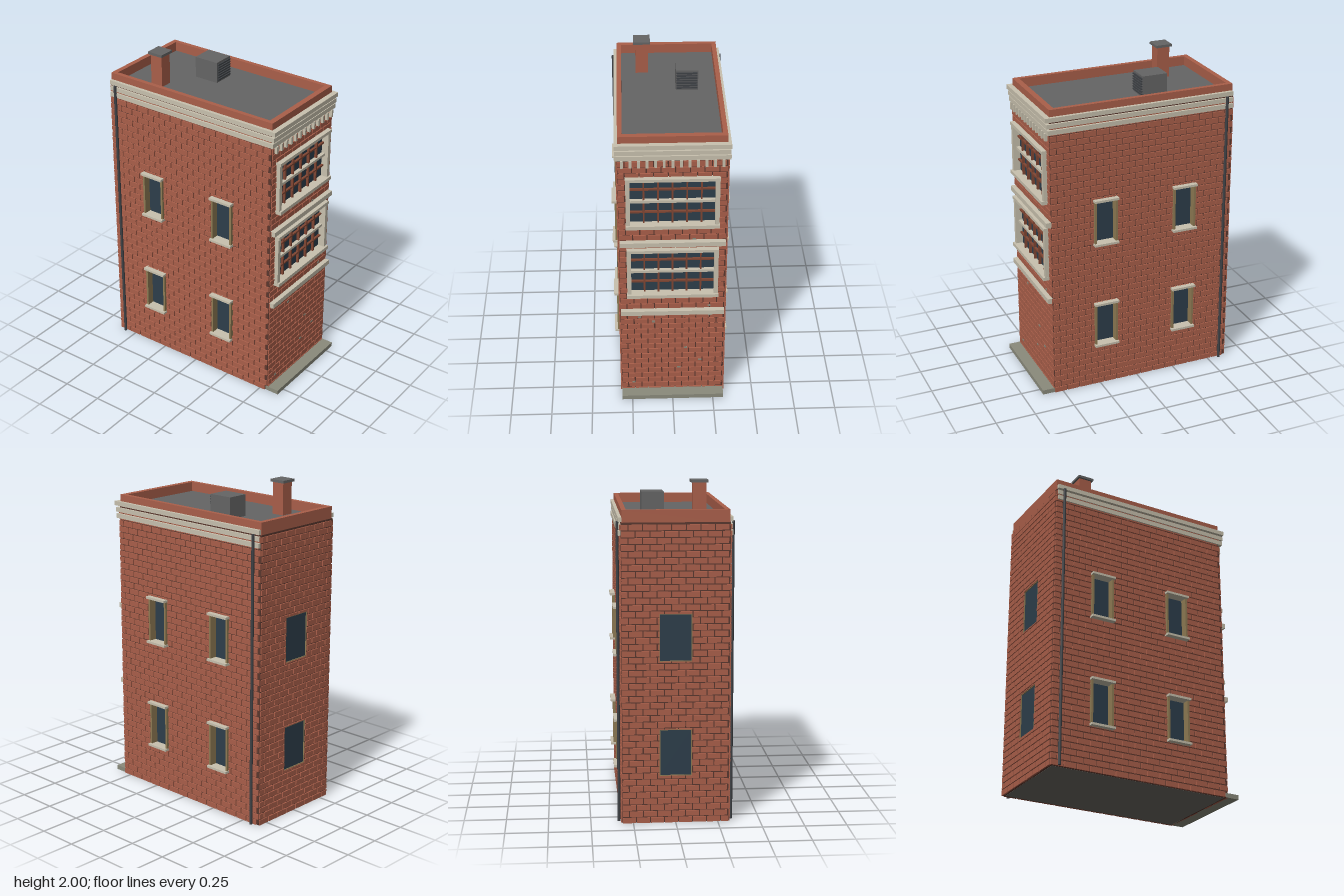
import * as THREE from 'three';
import { mergeGeometries } from 'three/addons/utils/BufferGeometryUtils.js';

const mat = (name, color) => {
  const m = new THREE.MeshStandardMaterial({ color });
  m.name = name;
  return m;
};

export function createModel() {
  const brick = mat('brick', 0xaa5f4a);
  const mortar = mat('mortar', 0x59372e);
  const stone = mat('stone', 0xc8c1ae);
  const slab = mat('weatheredStone', 0x8b8b7c);
  const roofGrey = mat('roofGrey', 0x656565);
  const glass = mat('glass', 0x2d3e4b);
  const wood = mat('windowWood', 0x8f7b54);
  const muntin = mat('muntinBrown', 0x804633);
  const iron = mat('darkIron', 0x3f4246);
  const concrete = mat('floorConcrete', 0x6c6961);

  // Box geometry from its minimum and maximum corners
  const boxGeo = (x0, x1, y0, y1, z0, z1) =>
    new THREE.BoxGeometry(x1 - x0, y1 - y0, z1 - z0)
      .translate((x0 + x1) / 2, (y0 + y1) / 2, (z0 + z1) / 2);
  const add = (parent, name, material, geos) => {
    const mesh = new THREE.Mesh(Array.isArray(geos) ? mergeGeometries(geos) : geos, material);
    mesh.name = name;
    parent.add(mesh);
    return mesh;
  };
  const group = (parent, name) => {
    const g = new THREE.Group();
    g.name = name;
    parent.add(g);
    return g;
  };
  const rectPath = (P, x0, x1, y0, y1) => new P([[x0, y0], [x1, y0], [x1, y1], [x0, y1]]
    .map(([x, y]) => new THREE.Vector2(x, y)));

  // Rectangle [u0,u1,y0,y1] minus a hole, as up to four smaller rectangles
  const subtract = (r, h) => {
    const [a, b, c, d] = r, [p, q, s, t] = h;
    if (q <= a || p >= b || t <= c || s >= d) return [r];
    const lo = Math.max(c, s), hi = Math.min(d, t);
    return [[a, b, c, s], [a, b, t, d], [a, p, lo, hi], [q, b, lo, hi]]
      .filter(([e, f, g, i]) => f - e > 0.005 && i - g > 0.005);
  };

  // Wall in its own plane: mortar sheet with openings, plus running-bond bricks
  const ROW = 0.0385, LEN = 0.083, GAP = 0.0065, PROUD = 0.008, TOP = 1.776;
  const wall = (parent, name, u0, u1, holes) => {
    const g = group(parent, name);
    const shape = rectPath(THREE.Shape, u0, u1, 0, TOP);
    holes.forEach((h) => shape.holes.push(rectPath(THREE.Path, ...h)));
    add(g, 'mortarWall', mortar, new THREE.ExtrudeGeometry(shape, { depth: 0.06, bevelEnabled: false })
      .translate(0, 0, -0.06));
    const geos = [];
    for (let row = 0; row * ROW < TOP - 0.01; row++) {
      const y0 = row * ROW, y1 = Math.min(y0 + ROW - GAP, TOP);
      for (let u = u0 - (row % 2) * LEN / 2; u < u1 - 0.01; u += LEN) {
        let rects = [[Math.max(u, u0), Math.min(u + LEN - GAP, u1), y0, y1]];
        holes.forEach((h) => { rects = rects.flatMap((r) => subtract(r, h)); });
        rects.forEach(([a, b, c, d]) => geos.push(boxGeo(a, b, c, d, -0.004, PROUD)));
      }
    }
    add(g, 'bricks', brick, geos);
    return g;
  };

  const model = new THREE.Group();
  model.name = 'brickTownhouse';

  // Front wall with two wide windows
  const frontHoles = [[-0.25, 0.25, 0.775, 1.085], [-0.25, 0.25, 1.27, 1.575]];
  const front = wall(model, 'frontWall', -0.312, 0.312, frontHoles);
  front.position.z = 0.549;
  frontHoles.forEach(([a, b, c, d]) => {
    const w = group(front, 'wideWindow');
    const mid = (c + d) / 2;
    add(w, 'glass', glass, boxGeo(a, b, c, d, -0.03, -0.012));
    add(w, 'frame', stone, [
      boxGeo(a - 0.02, a + 0.005, c, d, -0.03, 0.032),
      boxGeo(b - 0.005, b + 0.02, c, d, -0.03, 0.032),
      boxGeo(a - 0.021, b + 0.021, d - 0.006, d + 0.013, -0.03, 0.038),
      boxGeo(a - 0.022, b + 0.022, c - 0.018, c + 0.004, -0.03, 0.045),
      boxGeo(a, b, mid - 0.008, mid + 0.008, -0.02, 0.012),
    ]);
    const bars = [];
    for (let i = 1; i < 6; i++) {
      const x = a + (b - a) * i / 6;
      bars.push(boxGeo(x - 0.005, x + 0.005, c, d, -0.014, 0.004));
    }
    [0.25, 0.75].forEach((t) => {
      const y = c + (d - c) * t;
      bars.push(boxGeo(a, b, y - 0.005, y + 0.005, -0.014, 0.003));
    });
    add(w, 'muntins', muntin, bars);
  });

  // Stone string courses, dentils and small weathered chips
  [0.62, 1.12].forEach((y) => add(front, 'stringCourse', stone, [
    boxGeo(-0.31, 0.31, y, y + 0.03, -0.004, 0.034),
    boxGeo(-0.306, 0.306, y - 0.006, y, -0.004, 0.022),
  ]));
  const dentils = [];
  for (let i = -6; i <= 6; i++) dentils.push(boxGeo(i * 0.048 - 0.008, i * 0.048 + 0.008, 1.658, 1.704, 0, 0.026));
  add(front, 'dentils', stone, dentils);
  add(front, 'weatheredChips', slab, [[-0.2, 0.59], [-0.115, 0.555], [0.22, 0.67], [0.225, 0.6], [0.08, 0.35],
    [0.17, 0.25], [0.04, 0.195], [-0.24, 0.08], [0.125, 1.16]]
    .map(([x, y]) => boxGeo(x - 0.01, x + 0.01, y - 0.005, y + 0.005, 0.004, 0.011)));

  // Side walls with recessed windows and downpipes
  [1, -1].forEach((s) => {
    const holes = [];
    [0.212, -0.305].forEach((z) => [0.28, 0.965].forEach((y) => {
      holes.push([-s * z - 0.07, -s * z + 0.07, y, y + 0.282]);
    }));
    const ends = [-s * 0.551, s * 0.621].sort((p, q) => p - q);
    const side = wall(model, s > 0 ? 'leftWall' : 'rightWall', ends[0], ends[1], holes);
    side.rotation.y = s * Math.PI / 2;
    side.position.x = s * 0.314;
    holes.forEach(([a, b, c, d]) => {
      const w = group(side, 'sideWindow');
      add(w, 'glass', glass, boxGeo(a, b, c, d, -0.055, -0.024));
      add(w, 'jambs', wood, [
        boxGeo(a - 0.004, a + 0.009, c, d, -0.05, 0.022),
        boxGeo(b - 0.009, b + 0.004, c, d, -0.05, 0.022),
      ]);
      add(w, 'lintelAndSill', stone, [
        boxGeo(a - 0.008, b + 0.008, d - 0.006, d + 0.008, -0.05, 0.039),
        boxGeo(a - 0.008, b + 0.008, c - 0.008, c + 0.006, -0.05, 0.039),
      ]);
    });
    const pipe = add(model, 'downpipe', iron, new THREE.CylinderGeometry(0.009, 0.009, 1.78, 10));
    pipe.position.set(s * 0.333, 0.89, -0.574);
  });

  // Back wall with two plain windows
  const backHoles = [[-0.095, 0.095, 0.285, 0.565], [-0.095, 0.095, 0.97, 1.25]];
  const back = wall(model, 'backWall', -0.312, 0.312, backHoles);
  back.rotation.y = Math.PI;
  back.position.z = -0.619;
  backHoles.forEach(([a, b, c, d]) => {
    const w = group(back, 'backWindow');
    add(w, 'glass', glass, boxGeo(a, b, c, d, -0.03, -0.002));
    add(w, 'thinFrame', wood, [
      boxGeo(a, a + 0.004, c, d, -0.02, 0.004), boxGeo(b - 0.004, b, c, d, -0.02, 0.004),
      boxGeo(a, b, c, c + 0.004, -0.02, 0.004), boxGeo(a, b, d - 0.004, d, -0.02, 0.004),
    ]);
  });

  // Three separate cornice bands around the front and both sides
  const cornice = group(model, 'cornice');
  [[1.702, 1.73, 0.33, 0.568], [1.74, 1.767, 0.327, 0.574], [1.779, 1.806, 0.33, 0.582]]
    .forEach(([y0, y1, x, z]) => add(cornice, 'corniceBand', stone, [
      boxGeo(-x, x, y0, y1, 0.54, z),
      boxGeo(-x, -0.305, y0, y1, -0.615, 0.54),
      boxGeo(0.305, x, y0, y1, -0.615, 0.54),
    ]));

  // Parapet ring, roof deck and floor
  const ring = rectPath(THREE.Shape, -0.31, 0.31, -0.55, 0.618);
  ring.holes.push(rectPath(THREE.Path, -0.283, 0.283, -0.515, 0.587));
  add(model, 'parapet', brick, new THREE.ExtrudeGeometry(ring, { depth: 0.074, bevelEnabled: false })
    .rotateX(-Math.PI / 2).translate(0, 1.774, 0));
  add(model, 'roofDeck', roofGrey, boxGeo(-0.3, 0.3, 1.77, 1.79, -0.605, 0.535));
  add(model, 'floor', concrete, boxGeo(-0.302, 0.302, -0.001, 0.02, -0.607, 0.537));
  add(model, 'frontStep', slab, boxGeo(-0.315, 0.315, 0, 0.028, 0.54, 0.63));

  // Chimney
  const chimney = group(model, 'chimney');
  add(chimney, 'stack', brick, boxGeo(-0.195, -0.118, 1.79, 1.985, -0.403, -0.322));
  add(chimney, 'cap', roofGrey, boxGeo(-0.207, -0.106, 1.984, 2, -0.414, -0.312));

  // Rooftop ventilation unit with louvres
  const vent = group(model, 'ventUnit');
  add(vent, 'housing', roofGrey, boxGeo(0.042, 0.175, 1.79, 1.92, -0.25, -0.092));
  const louvres = [];
  for (let i = 0; i < 7; i++) louvres.push(boxGeo(0.047, 0.17, 1.803 + i * 0.016, 1.812 + i * 0.016, -0.093, -0.084));
  add(vent, 'louvres', iron, louvres);

  return model;
}
